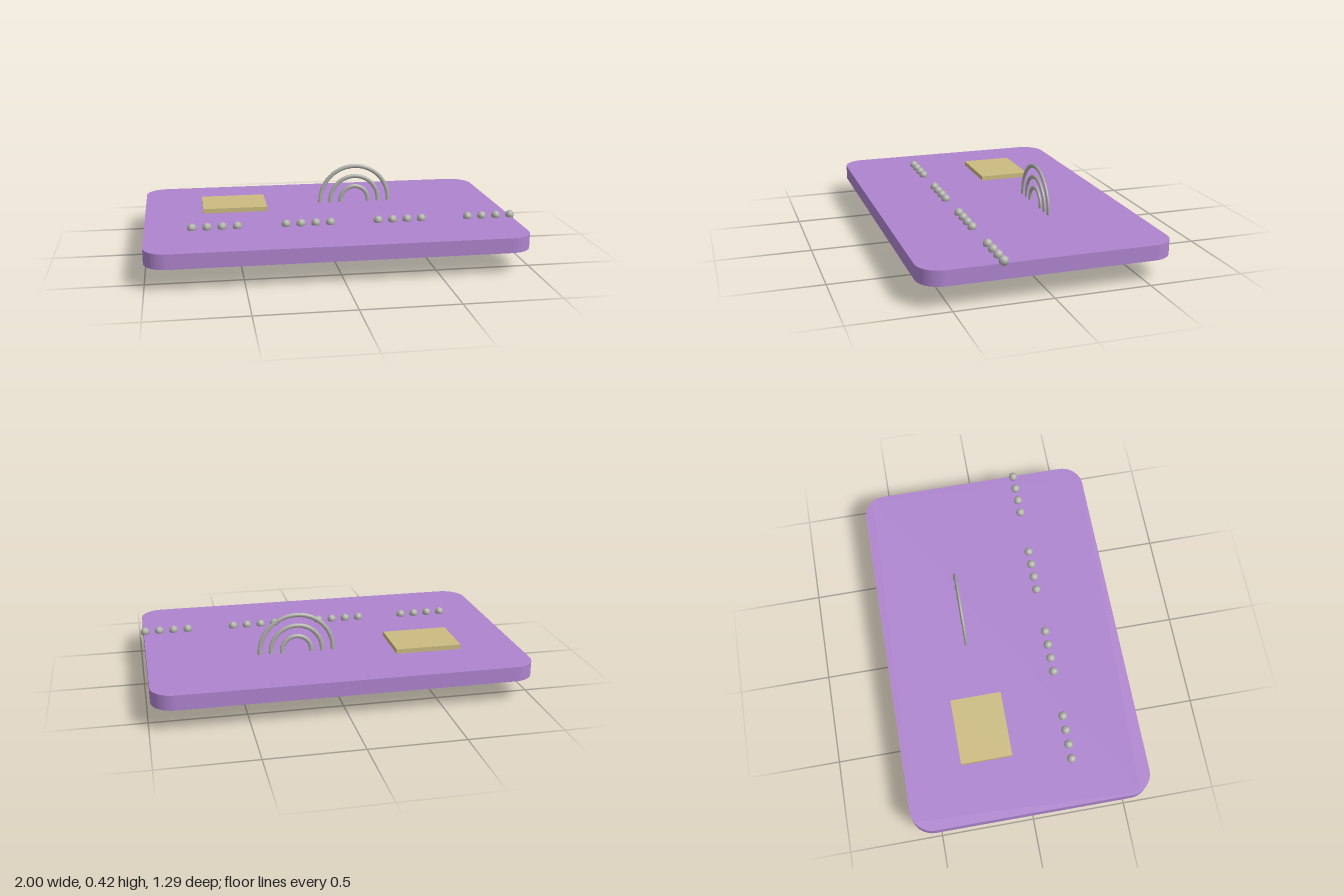
import * as THREE from 'three';

export function createModel() {
  const model = new THREE.Group();
  const mat = (name, color) => {
    const m = new THREE.MeshStandardMaterial({ color });
    m.name = name;
    return m;
  };
  const purple = mat('purple', 0xae84ce);
  const gold = mat('gold', 0xcbbb80);
  const silver = mat('silver', 0xb0b0aa);

  const add = (name, geometry, material, x, y, z) => {
    const mesh = new THREE.Mesh(geometry, material);
    mesh.name = name;
    mesh.position.set(x, y, z);
    model.add(mesh);
    return mesh;
  };

  // Card slab: rounded rectangle extruded upward
  const w = 0.992, d = 0.645, r = 0.119;
  const outline = new THREE.Shape();
  outline.absarc(w - r, d - r, r, 0, Math.PI / 2);
  outline.absarc(-w + r, d - r, r, Math.PI / 2, Math.PI);
  outline.absarc(-w + r, -d + r, r, Math.PI, Math.PI * 1.5);
  outline.absarc(w - r, -d + r, r, Math.PI * 1.5, Math.PI * 2);
  const slab = new THREE.ExtrudeGeometry(outline, { depth: 0.079, bevelEnabled: false, curveSegments: 8 });
  slab.rotateX(-Math.PI / 2);
  add('card', slab, purple, -0.008, 0.128, 0);

  // Contact chip, slightly raised
  add('chip', new THREE.BoxGeometry(0.357, 0.03, 0.277), gold, -0.504, 0.217, -0.199);

  // Concentric upright rings passing through the card
  [0.2, 0.14, 0.08].forEach((radius) => {
    const ring = new THREE.TorusGeometry(radius * 0.993, 0.012, 8, 48);
    add('contactlessRing', ring, silver, 0.191, 0.2175, -0.199).scale.z = 0.65;
  });

  // Four groups of four number beads
  const bead = new THREE.SphereGeometry(0.0248, 8, 8);
  for (let g = 0; g < 4; g++) {
    for (let i = 0; i < 4; i++) {
      add('numberBead', bead, silver, -0.752 + g * 0.4963 + i * 0.0794, 0.2175, 0.248);
    }
  }
  return model;
}
